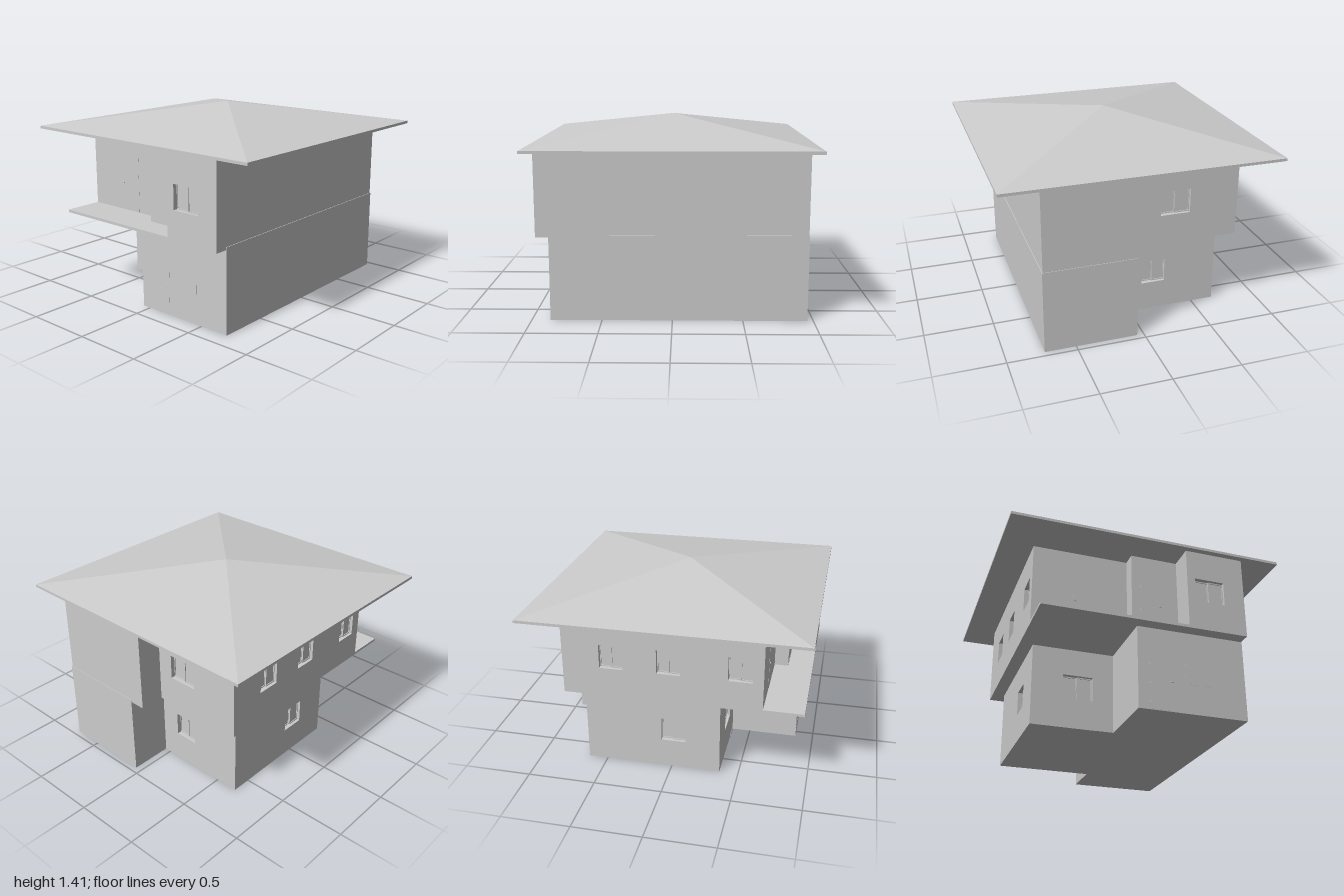
import * as THREE from 'three';

const paint = new THREE.MeshStandardMaterial({ color: 0xcccccc });
paint.name = 'plain grey';

const DEPTH = 0.04; // wall thickness, also the depth of the window recess

// Footprints as [x, z], each running left to right as seen from outside
const LOWER = [
  [0.727, 0.867], [0.727, -0.957], [0.05, -0.957], [0.05, -0.643],
  [-0.67, -0.643], [-0.67, 0.36], [-0.065, 0.36], [-0.065, 0.867],
];
const UPPER = [
  [0.722, 0.96], [0.722, -0.953], [-0.065, -0.953], [-0.065, -0.768], [-0.765, -0.768],
  [-0.765, 0.672], [-0.065, 0.672], [-0.065, 0.775], [0.285, 0.775], [0.285, 0.96],
];
const UPPER_FLOOR = [
  [0.722, 0.96], [0.722, -0.953], [-0.065, -0.953], [-0.065, -0.768], [-0.765, -0.768], [-0.765, 0.96],
];

// Windows: wall index, centre along the wall's world axis, width
const LOWER_WINDOWS = [[3, -0.182, 0.18], [4, 0.015, 0.18], [5, -0.33, 0.22]];
const UPPER_WINDOWS = [
  [3, -0.29, 0.22], [4, -0.41, 0.17], [4, 0.005, 0.17], [4, 0.51, 0.17], [9, 0.455, 0.22],
];
const WINDOW_HEIGHT = 0.18;

function mesh(name, geometry, parent) {
  const m = new THREE.Mesh(geometry, paint);
  m.name = name;
  parent.add(m);
  return m;
}

function box(name, parent, w, h, d, x, y, z) {
  mesh(name, new THREE.BoxGeometry(w, h, d), parent).position.set(x, y, z);
}

function rectPath(target, x0, y0, x1, y1) {
  target.moveTo(x0, y0);
  target.lineTo(x1, y0);
  target.lineTo(x1, y1);
  target.lineTo(x0, y1);
  target.closePath();
  return target;
}

// Rectangular sash with an open middle and a thin pane behind it
function sash(parent, w, h, x, y, z) {
  const shape = rectPath(new THREE.Shape(), -w / 2, -h / 2, w / 2, h / 2);
  const b = 0.008;
  shape.holes.push(rectPath(new THREE.Path(), -w / 2 + b, -h / 2 + b, w / 2 - b, h / 2 - b));
  const geometry = new THREE.ExtrudeGeometry(shape, { depth: 0.008, bevelEnabled: false });
  mesh('windowSash', geometry, parent).position.set(x, y, z);
  box('windowPane', parent, w, h, 0.004, x, y, z);
}

// Horizontal slab whose top lies at the given height
function slab(name, outline, top, thickness, parent) {
  const shape = new THREE.Shape(outline.map(([x, z]) => new THREE.Vector2(x, z)));
  const geometry = new THREE.ExtrudeGeometry(shape, { depth: thickness, bevelEnabled: false });
  geometry.rotateX(Math.PI / 2);
  mesh(name, geometry, parent).position.y = top;
}

// One wall per footprint edge, pierced by its windows
function storey(name, outline, bottom, top, sill, windows) {
  const group = new THREE.Group();
  group.name = name;
  outline.forEach((a, i) => {
    const b = outline[(i + 1) % outline.length];
    const dx = b[0] - a[0], dz = b[1] - a[1];
    const axis = Math.abs(dx) > Math.abs(dz) ? 0 : 1;
    const wall = new THREE.Group();
    wall.name = 'wall' + (i + 1);
    wall.position.set(a[0], bottom, a[1]);
    wall.rotation.y = Math.atan2(-dz, dx);
    group.add(wall);

    const shape = rectPath(new THREE.Shape(), 0, 0, Math.hypot(dx, dz), top - bottom);
    for (const [edge, centre, w] of windows) {
      if (edge !== i) continue;
      const u = Math.abs(centre - a[axis]), v = sill - bottom, h = WINDOW_HEIGHT;
      shape.holes.push(rectPath(new THREE.Path(), u - w / 2, v, u + w / 2, v + h));
      // Two sliding sashes, the right one nearer to the outside
      sash(wall, w / 2 + 0.004, h, u - w / 4, v + h / 2, -DEPTH);
      sash(wall, w / 2 + 0.004, h, u + w / 4, v + h / 2, -DEPTH + 0.01);
    }
    const geometry = new THREE.ExtrudeGeometry(shape, { depth: DEPTH, bevelEnabled: false });
    geometry.translate(0, 0, -DEPTH);
    mesh('wallPanel', geometry, wall);
  });
  return group;
}

// Flush door with a small handle, on a wall facing the front
function door(name, parent, x0, x1, y0, z, handleX) {
  const h = 0.42;
  box(name, parent, x1 - x0, h, 0.002, (x0 + x1) / 2, y0 + h / 2, z);
  box(name + 'Handle', parent, 0.015, 0.006, 0.008, handleX, y0 + 0.21, z + 0.004);
}

export function createModel() {
  const house = new THREE.Group();
  house.name = 'house';

  // Storeys and slabs
  house.add(storey('lowerStorey', LOWER, 0, 0.62, 0.22, LOWER_WINDOWS));
  house.add(storey('upperStorey', UPPER, 0.6, 1.22, 0.82, UPPER_WINDOWS));
  slab('groundFloor', LOWER, 0.02, 0.02, house);
  slab('upperFloorAndBalcony', UPPER_FLOOR, 0.62, 0.02, house);
  slab('ceiling', UPPER, 1.22, 0.02, house);

  // Doors, flush front window and threshold
  door('frontDoor', house, 0.02, 0.2, 0.005, 0.867, 0.18);
  door('balconyDoorLeft', house, -0.466, -0.29, 0.62, 0.672, -0.45);
  door('balconyDoorRight', house, 0, 0.17, 0.62, 0.775, 0.15);
  box('flushWindow', house, 0.18, 0.19, 0.002, 0.37, 0.31, 0.867);
  box('threshold', house, 0.135, 0.02, 0.006, -0.1325, 0.01, 0.36);

  // Hollow four-sided roof with a thin eave
  const r = Math.SQRT2;
  const profile = [[0, 1.395], [r, 1.222], [r, 1.242], [0, 1.415]].map(([x, y]) => new THREE.Vector2(x, y));
  const roof = new THREE.LatheGeometry(profile, 4, Math.PI / 4).toNonIndexed();
  roof.computeVertexNormals();
  mesh('roof', roof, house);

  return house;
}
